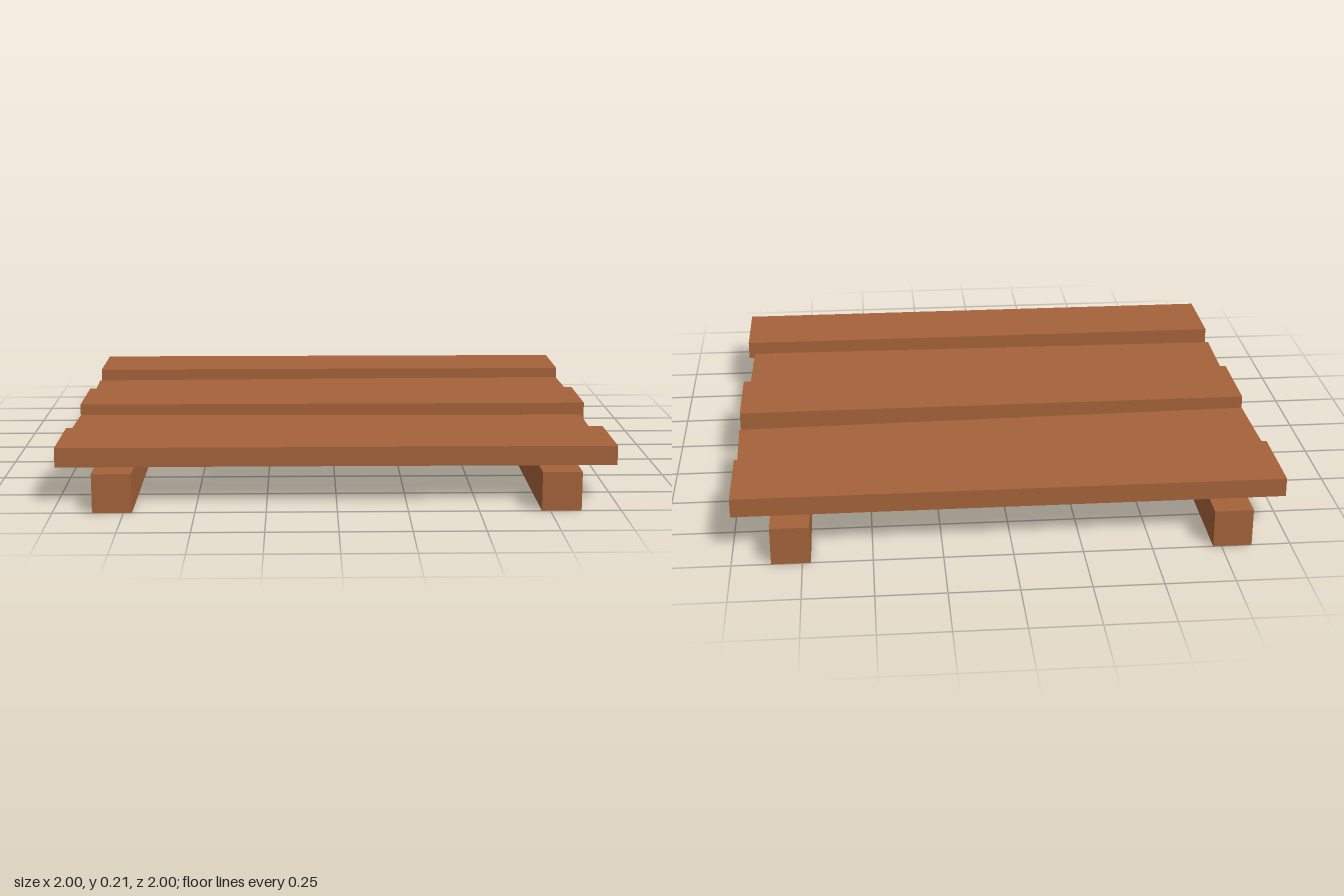
import * as THREE from 'three';

export function createModel() {
  const group = new THREE.Group();
  const wood = new THREE.MeshStandardMaterial({ color: 0xa5633a });
  wood.name = 'brown wood';

  // Box resting with its underside at the given height
  function addBeam(name, size, x, bottom, z, turn = 0) {
    const mesh = new THREE.Mesh(new THREE.BoxGeometry(...size), wood);
    mesh.name = name;
    mesh.position.set(x, bottom + size[1] / 2, z);
    mesh.rotation.y = turn;
    group.add(mesh);
  }

  // Two bearers running front to back
  addBeam('rightBearer', [0.14, 0.14, 2], -0.79, 0, 0);
  addBeam('leftBearer', [0.14, 0.14, 2], 0.79, 0, 0);

  // Three thick, straight planks
  const straight = { backPlank: -0.74, middlePlank: 0, frontPlank: 0.74 };
  for (const [name, z] of Object.entries(straight)) {
    addBeam(name, [2, 0.07, 0.32], 0, 0.14, z);
  }

  // Two thinner planks lying slightly askew between them
  addBeam('backCrookedPlank', [1.993, 0.035, 0.32], 0, 0.14, -0.373, 0.0225);
  addBeam('frontCrookedPlank', [1.973, 0.035, 0.32], -0.011, 0.14, 0.369, -0.015);

  return group;
}
